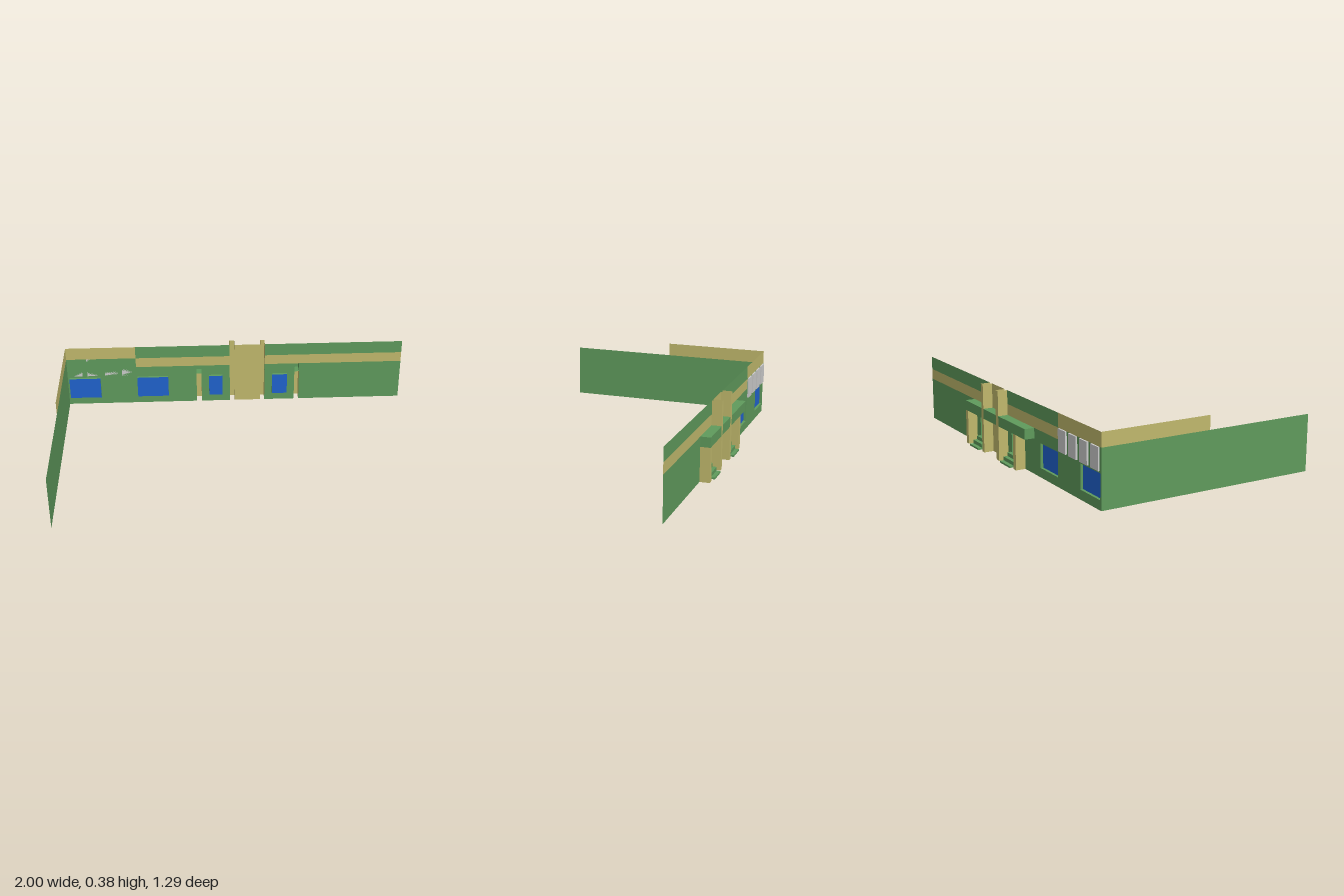
import * as THREE from 'three';

const mat = (color) => new THREE.MeshStandardMaterial({ color, side: THREE.DoubleSide, flatShading: true });
const WALL = -0.58, OUT = -0.635, INNER = -0.565;

export function createModel() {
  const root = new THREE.Group();
  const green = mat(0x5f9a5c), tan = mat(0xc0b86c), blue = mat(0x2062cd), grey = mat(0xcccccc);

  const add = (parent, name, geometry, material) => {
    const mesh = new THREE.Mesh(geometry, material);
    mesh.name = name;
    parent.add(mesh);
    return mesh;
  };

  // Flat panel facing z, with rectangular openings [x0, x1, y0, y1]
  const panel = (parent, name, x0, x1, y0, y1, z, material, holes = []) => {
    const rect = (C, a, b, c, d) => new C([[a, c], [b, c], [b, d], [a, d]].map((p) => new THREE.Vector2(...p)));
    const shape = rect(THREE.Shape, x0, x1, y0, y1);
    shape.holes = holes.map((h) => rect(THREE.Path, ...h));
    return add(parent, name, new THREE.ShapeGeometry(shape).translate(0, 0, z), material);
  };

  // Flat panel facing x
  const sidePanel = (parent, name, x, y0, y1, z0, z1, material) => {
    const g = new THREE.PlaneGeometry(Math.abs(z1 - z0), y1 - y0).rotateY(Math.PI / 2);
    return add(parent, name, g.translate(x, (y0 + y1) / 2, (z0 + z1) / 2), material);
  };

  // Flat panel facing y
  const flatPanel = (parent, name, x0, x1, y, z0, z1, material) => {
    const g = new THREE.PlaneGeometry(x1 - x0, Math.abs(z1 - z0)).rotateX(-Math.PI / 2);
    return add(parent, name, g.translate((x0 + x1) / 2, y, (z0 + z1) / 2), material);
  };

  // Channel open toward the wall: end face, two sides and optional top and bottom
  const channel = (name, x0, x1, y0, y1, z, endMat, sideMat, capped) => {
    const group = new THREE.Group();
    group.name = name;
    root.add(group);
    panel(group, name + 'Face', x0, x1, y0, y1, z, endMat);
    for (const x of [x0, x1]) sidePanel(group, name + 'Side', x, y0, y1, WALL, z, sideMat);
    if (capped) for (const y of [y0, y1]) flatPanel(group, name + 'Cap', x0, x1, y, WALL, z, sideMat);
  };

  // Recessed windows and doors
  const openings = [[-0.99, -0.805], [-0.585, -0.4], [-0.155, -0.075], [0.225, 0.315]].map(([a, b]) => [a, b, 0.05, 0.18]);
  openings.forEach(([a, b, c, d], i) => channel(i < 2 ? 'window' : 'door', a, b, c, d, INNER, blue, green, true));

  // Long facade, split by the column slots
  panel(root, 'wallEnd', -1, -0.59, 0, 0.305, WALL, green, [openings[0]].concat([]));
  root.children.at(-1).removeFromParent();
  panel(root, 'wallRightUpper', -1, -0.59, 0.245, 0.305, WALL, green);
  panel(root, 'wallRight', -1, -0.23, 0, 0.245, WALL, green, openings.slice(0, 2));
  panel(root, 'wallDoorRight', -0.2, -0.03, 0, 0.245, WALL, green, [openings[2]]);
  panel(root, 'wallDoorLeft', 0.18, 0.36, 0, 0.245, WALL, green, [openings[3]]);
  panel(root, 'wallLeft', 0.388, 1, 0, 0.245, WALL, green);
  panel(root, 'entranceWall', 0, 0.155, 0, 0.38, WALL, tan);

  // Painted bands along the top
  panel(root, 'parapetEnd', -1, -0.59, 0.305, 0.38, WALL, tan);
  for (const [a, b] of [[-0.59, -0.03], [0.18, 1]]) {
    panel(root, 'band', a, b, 0.245, 0.305, WALL, tan);
    panel(root, 'parapet', a, b, 0.305, 0.38, WALL, green);
  }

  // Return wall with its short parapet
  sidePanel(root, 'sideWall', -1, 0, 0.305, WALL, 0.645, green);
  sidePanel(root, 'sideParapet', -1, 0.305, 0.38, WALL, 0.03, tan);

  // Hollow columns: two tall, two under the canopy
  for (const [a, b, h] of [[-0.23, -0.2, 0.19], [-0.03, 0, 0.38], [0.155, 0.18, 0.38], [0.36, 0.388, 0.19]])
    channel('column', a, b, 0, h, OUT, tan, tan, false);

  // Canopy in three lengths between the tall columns
  for (const [a, b] of [[-0.335, -0.03], [0, 0.155], [0.18, 0.388]])
    channel('canopy', a, b, 0.19, 0.245, OUT, green, green, true);

  // Steps below each door
  for (const [a, b] of [[-0.175, -0.06], [0.215, 0.325]]) {
    [[0.01, 0.065], [0.03, 0.043], [0.05, 0.021]].forEach(([h, depth]) => {
      const g = new THREE.BoxGeometry(b - a, h, depth);
      add(root, 'step', g.translate((a + b) / 2, h / 2, WALL - depth / 2), green);
    });
  }

  // Row of grey signboards on the outside
  for (const x of [-0.948, -0.845, -0.74, -0.638])
    add(root, 'wallBoard', new THREE.BoxGeometry(0.074, 0.115, 0.009).translate(x, 0.2475, WALL - 0.0045), grey);

  return root;
}
